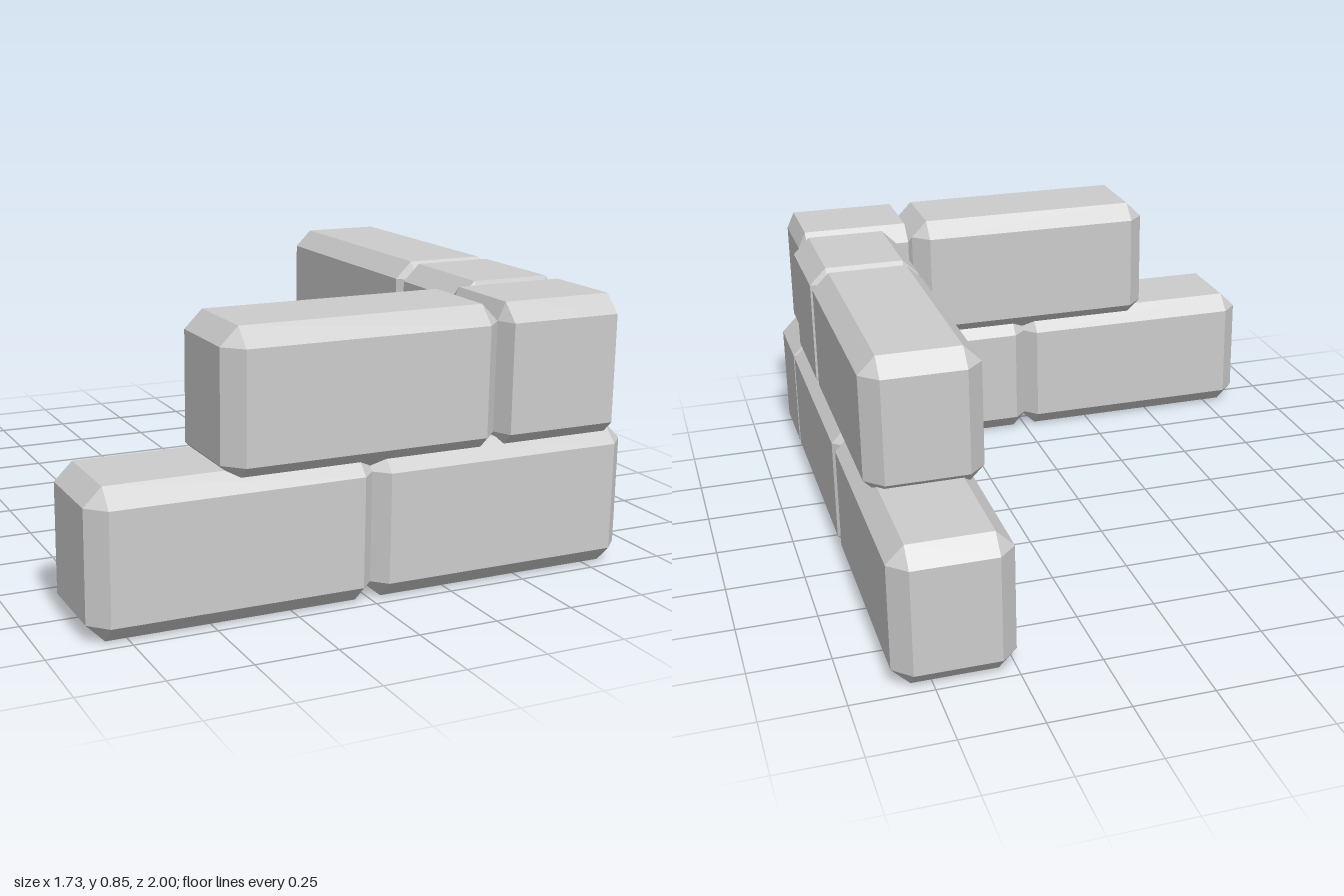
import * as THREE from 'three';
import { ConvexGeometry } from 'three/addons/geometries/ConvexGeometry.js';

const LENGTH = 0.88, HEIGHT = 0.445, DEPTH = 0.37, BEVEL = 0.055;

// Full-length block along x with flat chamfers on every edge and corner
function chamferedBlock() {
  const h = [LENGTH / 2, HEIGHT / 2, DEPTH / 2];
  const points = [];
  for (const sx of [-1, 1]) for (const sy of [-1, 1]) for (const sz of [-1, 1]) {
    for (let axis = 0; axis < 3; axis++) {
      const p = h.map((v, i) => (i === axis ? v : v - BEVEL));
      points.push(new THREE.Vector3(sx * p[0], sy * p[1], sz * p[2]));
    }
  }
  return new ConvexGeometry(points);
}

export function createModel() {
  const group = new THREE.Group();
  group.name = 'cornerWall';
  const material = new THREE.MeshStandardMaterial({ color: 0xcccccc, flatShading: true });
  const geometry = chamferedBlock();

  // Place a block from start to end along its wall; short blocks are squeezed lengthwise
  function addBlock(name, alongZ, start, end, y, across) {
    const block = new THREE.Mesh(geometry, material);
    const mid = (start + end) / 2;
    block.name = name;
    block.scale.x = (end - start) / LENGTH;
    block.position.set(alongZ ? across : mid, y, alongZ ? mid : across);
    if (alongZ) block.rotation.y = Math.PI / 2;
    group.add(block);
  }

  const low = HEIGHT / 2, high = 0.85 - HEIGHT / 2;

  // Lower course
  addBlock('lowerFrontBlockRight', false, -0.868, 0.012, low, 0.815);
  addBlock('lowerFrontBlockLeft', false, -0.014, 0.866, low, 0.815);
  addBlock('lowerSideBlockFront', true, -0.165, 0.715, low, 0.681);
  addBlock('lowerSideBlockBack', true, -1, -0.12, low, 0.681);

  // Upper course
  addBlock('upperFrontBlock', false, -0.47, 0.41, high, 0.815);
  addBlock('upperCornerHalfBlock', false, 0.41, 0.82, high, 0.815);
  addBlock('upperSideHalfBlock', true, 0.245, 0.643, high, 0.662);
  addBlock('upperSideBlock', true, -0.608, 0.272, high, 0.662);

  return group;
}
